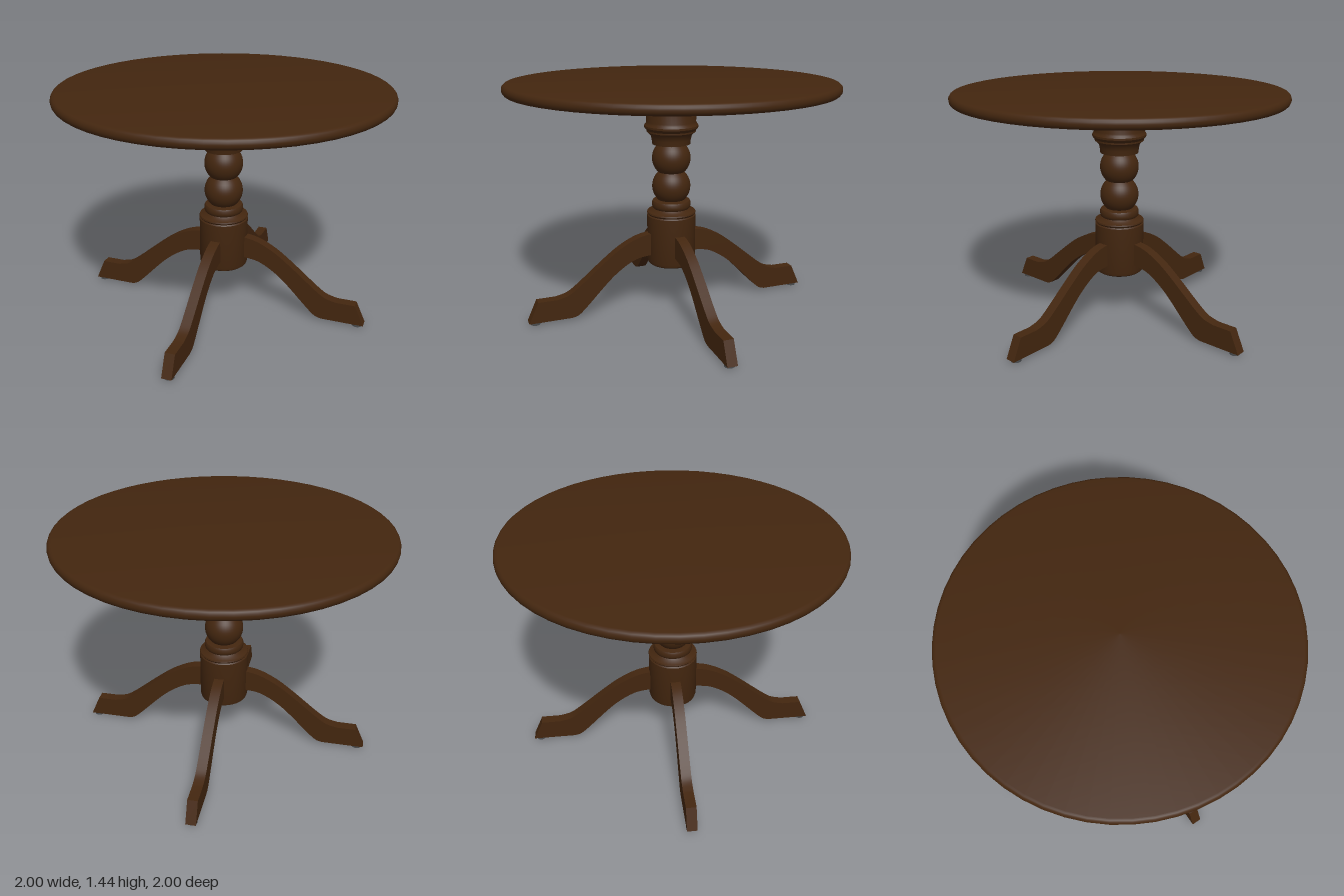
import * as THREE from 'three';
import { toCreasedNormals } from 'three/addons/utils/BufferGeometryUtils.js';

const wood = new THREE.MeshStandardMaterial({ color: 0x43260f });
wood.name = 'dark wood';
const metal = new THREE.MeshStandardMaterial({ color: 0x4a4c4e });
metal.name = 'grey metal';

const V = (x, y) => new THREE.Vector2(x, y);

function add(parent, name, geometry, material) {
  const mesh = new THREE.Mesh(geometry, material);
  mesh.name = name;
  parent.add(mesh);
  return mesh;
}

// Turned part from a bottom-to-top profile of [radius, height] pairs
function turned(profile, segments) {
  const points = profile.map(([r, y]) => V(r, y));
  return toCreasedNormals(new THREE.LatheGeometry(points, segments), 0.6);
}

// Points on a ball between two heights
function ball(radius, centre, from, to, steps = 12) {
  const a = Math.asin((from - centre) / radius);
  const b = Math.asin((to - centre) / radius);
  return Array.from({ length: steps + 1 }, (_, i) => {
    const t = a + (b - a) * i / steps;
    return [radius * Math.cos(t), centre + radius * Math.sin(t)];
  });
}

// S-curved leg outline: x runs outwards from the column
function legGeometry() {
  const shape = new THREE.Shape();
  shape.moveTo(0.1, 0.5);
  shape.splineThru([V(0.17, 0.495), V(0.25, 0.473), V(0.35, 0.42), V(0.45, 0.345),
    V(0.55, 0.262), V(0.62, 0.205), V(0.68, 0.165), V(0.75, 0.147)]);
  shape.lineTo(0.868, 0.147);
  shape.lineTo(0.927, 0.015);
  shape.lineTo(0.66, 0.015);
  shape.splineThru([V(0.625, 0.025), V(0.59, 0.052), V(0.53, 0.112), V(0.45, 0.195),
    V(0.38, 0.26), V(0.3, 0.316), V(0.22, 0.35), V(0.1, 0.362)]);
  const geometry = new THREE.ExtrudeGeometry(shape, { depth: 0.062, bevelEnabled: false, curveSegments: 3 });
  geometry.translate(0, 0, -0.031);
  return toCreasedNormals(geometry, 0.6);
}

export function createModel() {
  const table = new THREE.Group();
  table.name = 'pedestalTable';

  // Round top with a softened rim
  const rim = [];
  for (let i = 0; i <= 8; i++) {
    const t = -Math.PI / 2 + Math.PI * i / 8;
    rim.push([0.975 + 0.025 * Math.cos(t), 1.41 + 0.03 * Math.sin(t)]);
  }
  add(table, 'tableTop', turned([[0, 1.38], ...rim, [0, 1.44]], 56), wood);

  const base = new THREE.Group();
  base.name = 'base';
  base.position.set(-0.004, 0, 0.003);
  table.add(base);

  // Mounting plate under the top
  const plate = add(base, 'mountingPlate', new THREE.CylinderGeometry(0.308, 0.308, 0.037, 48), wood);
  plate.position.y = 1.3635;

  // Turned column: hub, rings, two balls, flared collar and cap
  add(base, 'column', turned([
    [0, 0.288], [0.135, 0.288], [0.147, 0.297], [0.152, 0.315],
    [0.152, 0.605], [0.146, 0.612], [0.153, 0.622], [0.15, 0.63], [0.125, 0.638], [0.112, 0.65],
    [0.118, 0.656], [0.121, 0.668], [0.121, 0.688], [0.115, 0.699],
    ...ball(0.119, 0.79, 0.705, 0.88), ...ball(0.119, 0.967, 0.885, 1.05),
    [0.117, 1.056], [0.12, 1.085], [0.126, 1.11], [0.142, 1.127], [0.15, 1.132], [0.15, 1.142],
    [0.158, 1.15], [0.165, 1.16], [0.165, 1.172], [0.156, 1.184], [0.152, 1.195],
    [0.152, 1.35], [0, 1.35]], 40), wood);

  // Four legs with foot pads, and a bolt above each one
  const leg = legGeometry();
  const padGeo = new THREE.CylinderGeometry(0.03, 0.03, 0.016, 20);
  const washerGeo = new THREE.CylinderGeometry(0.033, 0.033, 0.006, 20);
  const headGeo = new THREE.CylinderGeometry(0.018, 0.018, 0.016, 6);
  for (let i = 0; i < 4; i++) {
    const arm = new THREE.Group();
    arm.name = 'legAssembly' + (i + 1);
    arm.rotation.y = THREE.MathUtils.degToRad(37 - 90 + i * 90);
    base.add(arm);
    add(arm, 'leg', leg, wood);
    add(arm, 'footPad', padGeo, metal).position.set(0.885, 0.008, 0);
    add(arm, 'boltWasher', washerGeo, metal).position.set(0.24, 1.342, 0);
    add(arm, 'boltHead', headGeo, metal).position.set(0.24, 1.332, 0);
  }
  return table;
}
